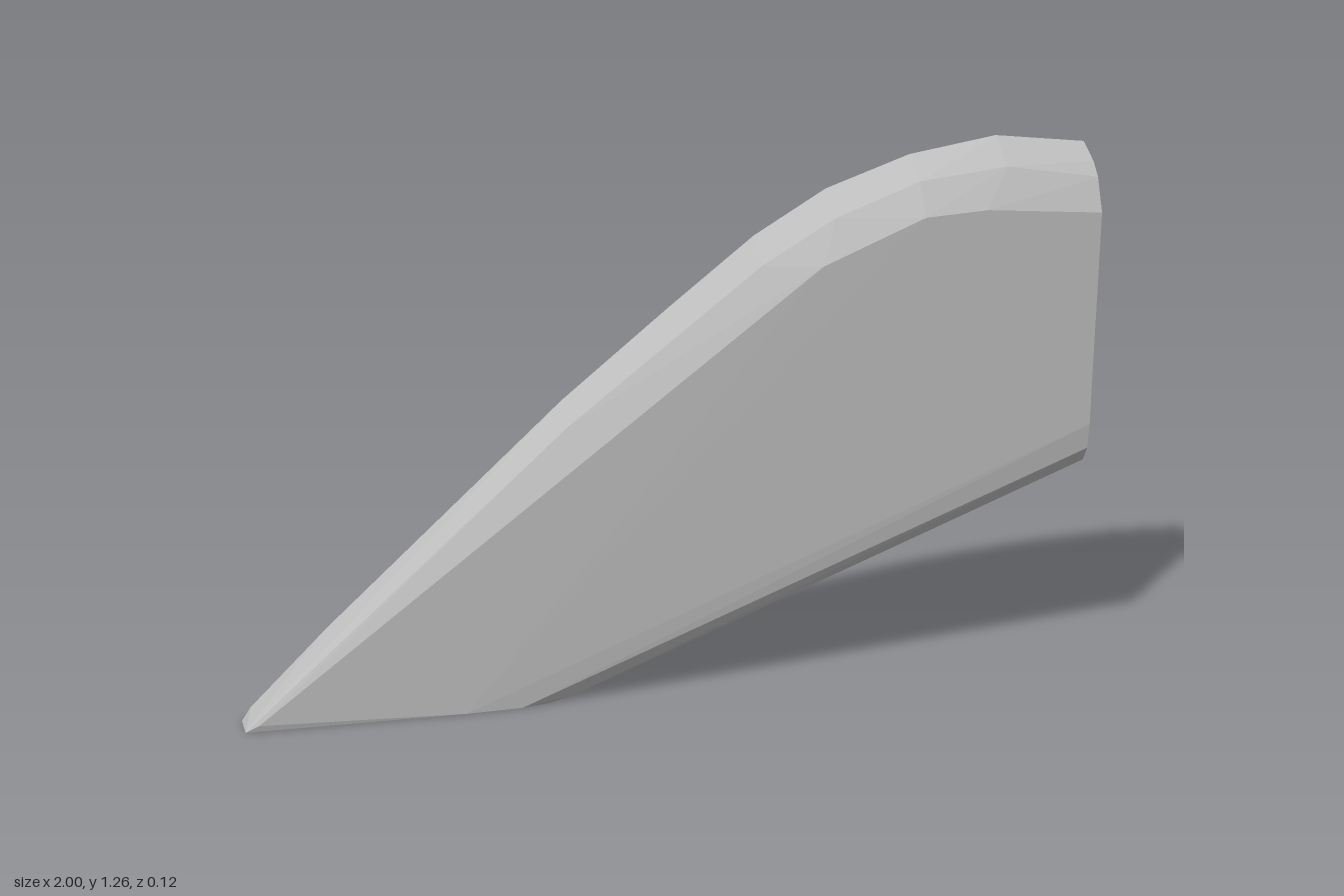
import * as THREE from 'three';
import { ConvexGeometry } from 'three/addons/geometries/ConvexGeometry.js';

export function createModel() {
  const group = new THREE.Group();
  const grey = new THREE.MeshStandardMaterial({ color: 0xbcbcbc });
  grey.name = 'plain grey';

  // Curved upper rim, flush with the flat back
  const backRim = [
    [-1, 0], [-0.98, 0.03], [-0.8, 0.205], [-0.25, 0.7], [0, 0.9], [0.2, 1.055],
    [0.37, 1.155], [0.57, 1.225], [0.78, 1.26], [1, 1.237],
  ].map(([x, y]) => [x, y, -0.06]);

  // Rounded shoulder between the rim and the front face
  const shoulder = [
    [-0.99, 0.012, 0.005], [-0.25, 0.655, 0.005], [0.2, 1.0, 0.012],
    [0.37, 1.1, 0.015], [0.57, 1.175, 0.017], [0.78, 1.2, 0.017],
    [1, 1.2, 0], [1, 1.168, 0.029],
  ];

  // Upper edge of the broad front face
  const frontEdge = [
    [-1, 0, 0.015], [-0.97, 0.015, 0.02], [0, 0.75, 0.048],
    [0.33, 1.0, 0.058], [0.57, 1.1, 0.062], [0.72, 1.11, 0.062], [1, 1.09, 0.06],
  ];

  // Narrow rounded lower edge, from the flat foot to the square end
  const lowerEdge = [
    [-0.5, 0, 0.03], [-0.37, 0, 0.027], [-0.3, 0, 0.012], [-0.3, 0, -0.015],
    [-0.24, 0.015, 0.01], [-0.24, 0.015, -0.012], [-0.35, 0, -0.045], [-0.48, 0, -0.06],
    [1, 0.58, 0.041], [1, 0.52, 0.033], [1, 0.485, 0.01],
    [1, 0.48, -0.012], [1, 0.51, -0.035], [1, 0.96, -0.06],
  ];

  const points = [...backRim, ...shoulder, ...frontEdge, ...lowerEdge]
    .map((p) => new THREE.Vector3(...p));
  const blade = new THREE.Mesh(new ConvexGeometry(points), grey);
  blade.name = 'blade';
  group.add(blade);
  return group;
}
